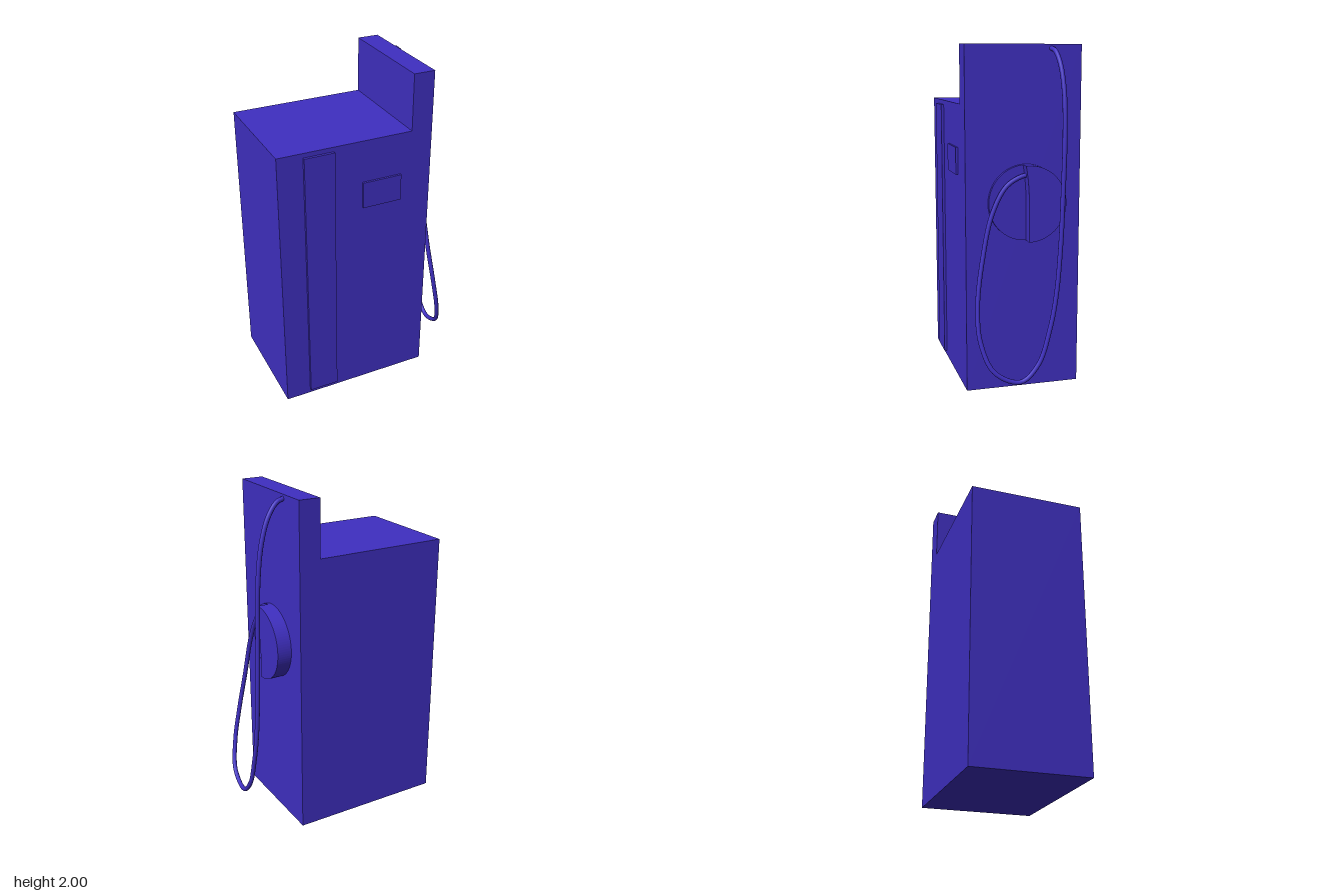
import * as THREE from 'three';

export function createModel() {
  const group = new THREE.Group();
  const indigo = new THREE.MeshStandardMaterial({ color: 0x3f2fc1 });
  indigo.name = 'indigo';

  const add = (name, geometry) => {
    const mesh = new THREE.Mesh(geometry, indigo);
    mesh.name = name;
    group.add(mesh);
    return mesh;
  };

  // Box given by its corner limits
  const box = (name, x0, x1, y0, y1, z0, z1) =>
    add(name, new THREE.BoxGeometry(x1 - x0, y1 - y0, z1 - z0))
      .position.set((x0 + x1) / 2, (y0 + y1) / 2, (z0 + z1) / 2);

  // Cabinet: an L-shaped profile in one piece
  const profile = new THREE.Shape([
    [-0.577, 0], [0.36, 0], [0.36, 2], [0.232, 2], [0.232, 1.667], [-0.577, 1.667],
  ].map(([x, y]) => new THREE.Vector2(x, y)));
  add('cabinet', new THREE.ExtrudeGeometry(profile, { depth: 0.68, bevelEnabled: false }))
    .position.z = -0.35;

  // Raised front panels
  box('lightStrip', -0.425, -0.245, 0.03, 1.64, 0.32, 0.346);
  box('screen', -0.072, 0.167, 1.255, 1.415, 0.32, 0.343);

  // Round plug holder: thin disc with a thicker rear half
  const centreY = 1.11, centreZ = -0.02, radius = 0.22;
  const disc = add('plugDisc', new THREE.CylinderGeometry(radius, radius, 0.03, 48));
  disc.rotation.z = Math.PI / 2;
  disc.position.set(0.366, centreY, centreZ);

  const half = new THREE.Shape();
  half.absarc(0, 0, radius, -Math.PI / 2, Math.PI / 2 + 0.09, false);
  half.quadraticCurveTo(0, 0.12, 0, -0.03);
  half.closePath();
  const holder = add('plugHolder', new THREE.ExtrudeGeometry(half, {
    depth: 0.097, bevelEnabled: false, curveSegments: 24,
  }));
  holder.rotation.y = Math.PI / 2;
  holder.position.set(0.35, centreY, centreZ);

  // Charging cable from the top of the tower, looping down and back to the holder
  const path = new THREE.CatmullRomCurve3([
    [0.35, 1.977, -0.17], [0.40, 1.963, -0.179], [0.46, 1.89, -0.19], [0.51, 1.74, -0.197],
    [0.537, 1.5, -0.195], [0.543, 1.2, -0.187], [0.548, 0.9, -0.175], [0.552, 0.6, -0.15],
    [0.556, 0.4, -0.112], [0.559, 0.2, -0.045], [0.56, 0.105, 0.06], [0.545, 0.17, 0.21],
    [0.504, 0.34, 0.281], [0.465, 0.54, 0.288], [0.43, 0.8, 0.25], [0.411, 1.06, 0.187],
    [0.406, 1.215, 0.1], [0.406, 1.27, 0], [0.406, 1.27, -0.03],
  ].map((p) => new THREE.Vector3(...p)));
  add('cable', new THREE.TubeGeometry(path, 160, 0.0135, 12, false));

  return group;
}
